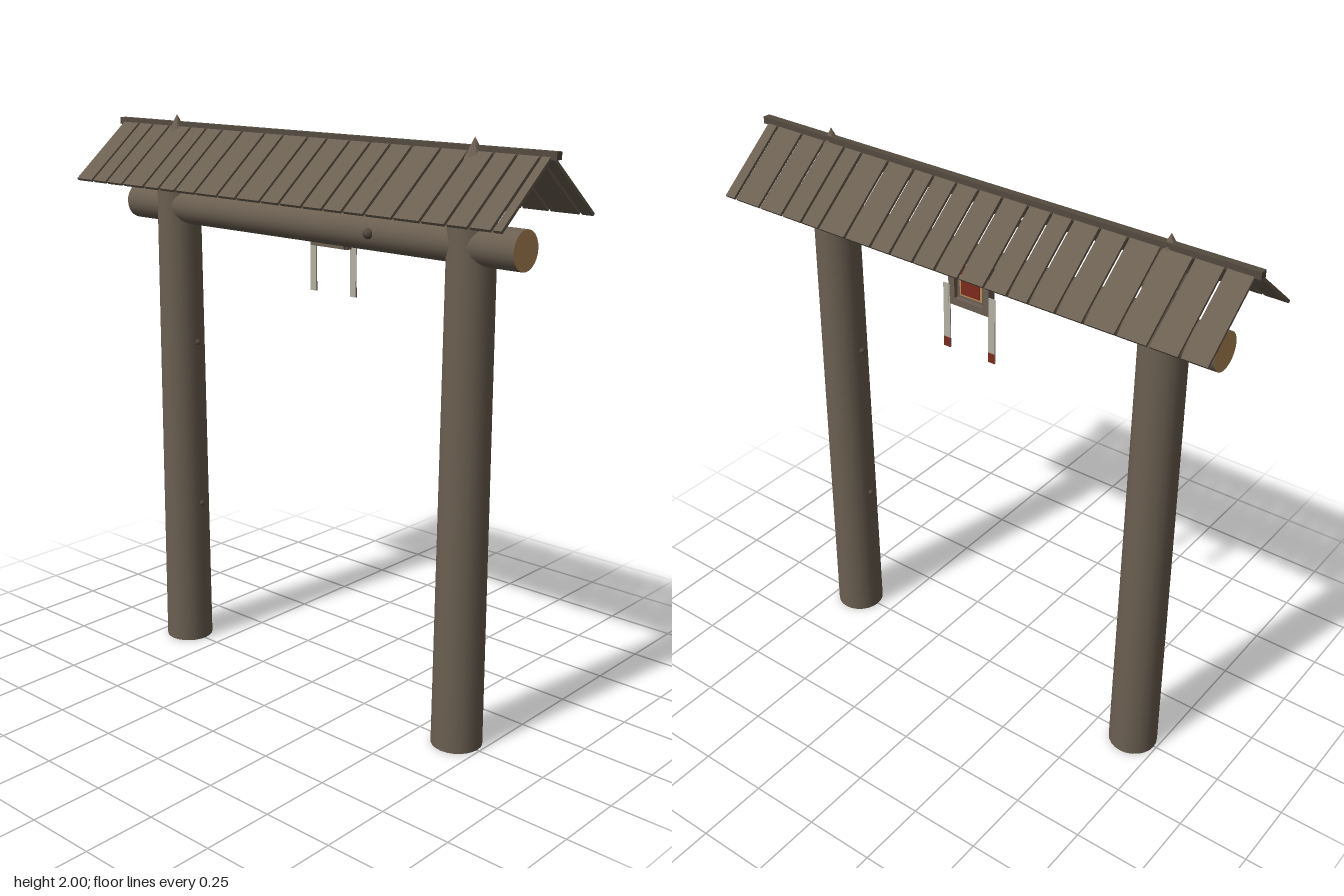
import * as THREE from 'three';

const mat = (name, color, extra = {}) => {
  const m = new THREE.MeshStandardMaterial({ color, ...extra });
  m.name = name;
  return m;
};

export function createModel() {
  const root = new THREE.Group();
  root.name = 'timberGate';

  const wood = mat('weathered wood', 0x6b5f51);
  const endGrain = mat('cut end grain', 0xb88c5a);
  const darkWood = mat('dark wood', 0x544a3f);
  const paper = mat('pale cloth', 0xb5b1a2);
  const red = mat('red paint', 0x7d2a1c);

  const add = (parent, name, geo, material, x = 0, y = 0, z = 0) => {
    const m = new THREE.Mesh(geo, material);
    m.name = name;
    m.position.set(x, y, z);
    parent.add(m);
    return m;
  };
  const box = (parent, name, w, h, d, material, x, y, z) =>
    add(parent, name, new THREE.BoxGeometry(w, h, d), material, x, y, z);

  // Round posts with hewn, pointed tops and small branch knots on the inner sides
  for (const side of [-1, 1]) {
    const post = new THREE.Group();
    post.name = side > 0 ? 'leftPost' : 'rightPost';
    post.position.set(side * 0.653, 0, -0.003);
    root.add(post);
    const trunk = new THREE.CylinderGeometry(0.077, 0.087, 1.85, 24, 6);
    add(post, 'trunk', trunk, [wood, wood, endGrain], 0, 0.925, 0);
    const tip = new THREE.ConeGeometry(0.077, 0.15, 8).toNonIndexed();
    tip.computeVertexNormals();
    add(post, 'pointedTop', tip, wood, 0.004, 1.925, 0.004);
    for (const y of [0.555, 1.18]) {
      const r = 0.087 - 0.0054 * y;
      add(post, 'knot', new THREE.SphereGeometry(0.011, 8, 6), darkWood, -side * r, y, 0);
    }
  }

  // Horizontal log passing through both posts
  const log = new THREE.CylinderGeometry(0.064, 0.064, 1.71, 24, 1);
  add(root, 'crossBeam', log, [wood, endGrain, endGrain], 0, 1.68, 0.003).rotation.z = Math.PI / 2;
  add(root, 'beamKnot', new THREE.SphereGeometry(0.018, 8, 6), darkWood, 0.3, 1.68, 0.066);

  // Two roof slopes of uneven boards; numbers are the joints along x
  const roof = new THREE.Group();
  roof.name = 'roof';
  roof.position.z = -0.003;
  root.add(roof);
  const joints = {
    front: [-0.934, -0.844, -0.768, -0.681, -0.571, -0.492, -0.411, -0.314, -0.207, -0.12, -0.01,
      0.074, 0.171, 0.258, 0.339, 0.426, 0.536, 0.64, 0.732, 0.814, 0.895, 0.934],
    back: [-0.934, -0.839, -0.737, -0.63, -0.518, -0.421, -0.324, -0.247, -0.161, -0.064, 0.028,
      0.115, 0.207, 0.288, 0.395, 0.508, 0.584, 0.671, 0.773, 0.885, 0.934],
  };
  const pitch = Math.atan2(0.19, 0.235);
  for (const [name, xs] of Object.entries(joints)) {
    const s = name === 'front' ? 1 : -1;
    const slope = new THREE.Group();
    slope.name = name + 'Slope';
    slope.position.set(0, 1.863, s * 0.121);
    slope.rotation.x = s * pitch;
    roof.add(slope);
    for (let i = 0; i < xs.length - 1; i++) {
      box(slope, 'roofBoard', xs[i + 1] - xs[i] - 0.01, 0.01, 0.302, wood, (xs[i] + xs[i + 1]) / 2, 0, 0);
    }
    // Rafters under the boards
    for (const x of [-0.65, 0, 0.65]) {
      const rafter = box(roof, 'rafter', 0.03, 0.02, 0.225, wood, x, 1.832, s * 0.094);
      rafter.rotation.x = s * 0.64;
    }
  }
  box(roof, 'ridgeCap', 1.9, 0.024, 0.026, darkWood, 0, 1.962, -0.002);

  // Framed plaque on the back of the beam
  const plaque = new THREE.Group();
  plaque.name = 'plaque';
  plaque.position.set(0, 1.677, -0.085);
  root.add(plaque);
  box(plaque, 'backboard', 0.15, 0.18, 0.022, wood, 0, 0, 0);
  for (const s of [-1, 1]) {
    box(plaque, 'frameSide', 0.024, 0.186, 0.026, wood, s * 0.068, 0, -0.014);
    box(plaque, 'frameRail', 0.112, 0.024, 0.026, wood, 0, s * 0.081, -0.014);
  }
  box(plaque, 'paleBorder', 0.088, 0.118, 0.004, endGrain, 0, 0, -0.012);
  box(plaque, 'redPanel', 0.074, 0.104, 0.004, red, 0, 0, -0.015);
  box(plaque, 'paleInset', 0.028, 0.036, 0.004, endGrain, 0, 0.016, -0.018);

  // Hanging cloth strips with a red patch at the lower end
  for (const x of [-0.092, 0.088]) {
    box(root, 'hangingStrip', 0.026, 0.23, 0.004, paper, x, 1.537, -0.11);
    box(root, 'stripTip', 0.026, 0.034, 0.002, red, x, 1.439, -0.113);
  }

  return root;
}
